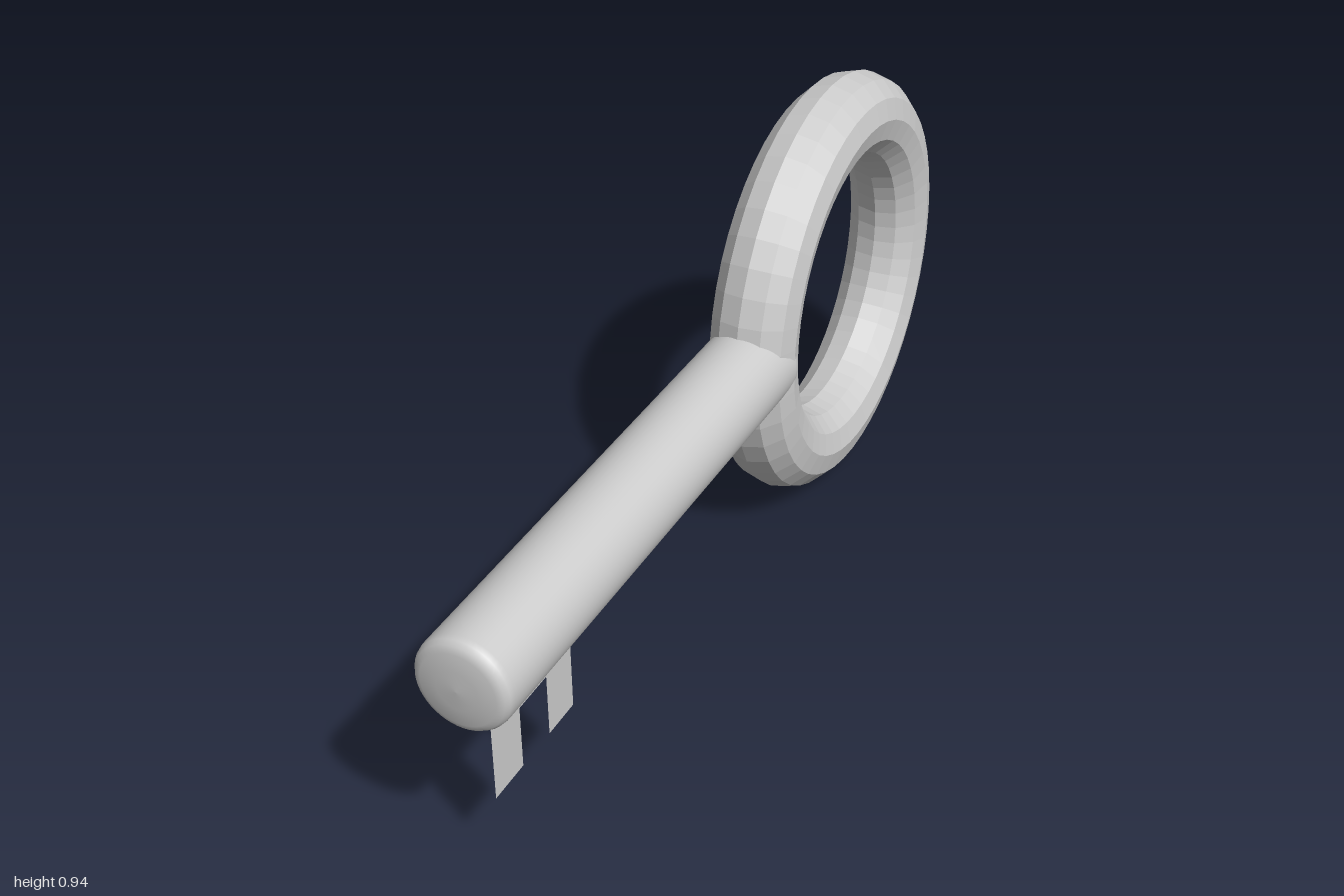
import * as THREE from 'three';

const AXIS_Y = 0.469;

export function createModel() {
  const key = new THREE.Group();
  key.name = 'key';

  const add = (name, geometry, options = {}) => {
    const mesh = new THREE.Mesh(geometry, new THREE.MeshStandardMaterial({ color: 0xcccccc, ...options }));
    mesh.name = name;
    key.add(mesh);
    return mesh;
  };

  // Faceted ring handle, standing in the y-z plane
  const ring = add('ringHandle', new THREE.TorusGeometry(0.376, 0.092, 12, 48), { flatShading: true });
  ring.rotation.y = Math.PI / 2;
  ring.position.set(0, AXIS_Y, -0.531);

  // Round shaft with softened, slightly domed ends, running along z
  const radius = 0.095;
  const halfEnd = [[0, 0], [0.04, 0.002], [0.074, 0.006], [0.087, 0.012], [0.093, 0.021], [radius, 0.033]];
  const back = -0.191, front = 0.998;
  const profile = [
    ...halfEnd.map(([r, d]) => new THREE.Vector2(r, back + d)),
    ...halfEnd.slice().reverse().map(([r, d]) => new THREE.Vector2(r, front - d)),
  ];
  const shaft = add('shaft', new THREE.LatheGeometry(profile, 48));
  shaft.rotation.x = Math.PI / 2;
  shaft.position.y = AXIS_Y + 0.001;

  // Thin two-toothed bit under the front of the shaft; shape x maps to -z
  const outline = [
    [0.63, 0.4], [0.63, 0.154], [0.718, 0.154], [0.718, 0.289],
    [0.812, 0.289], [0.812, 0.154], [0.906, 0.154], [0.906, 0.4],
  ];
  const bitShape = new THREE.Shape(outline.map(([z, y]) => new THREE.Vector2(-z, y)));
  const bit = add('bit', new THREE.ShapeGeometry(bitShape), { side: THREE.DoubleSide });
  bit.rotation.y = Math.PI / 2;

  return key;
}
